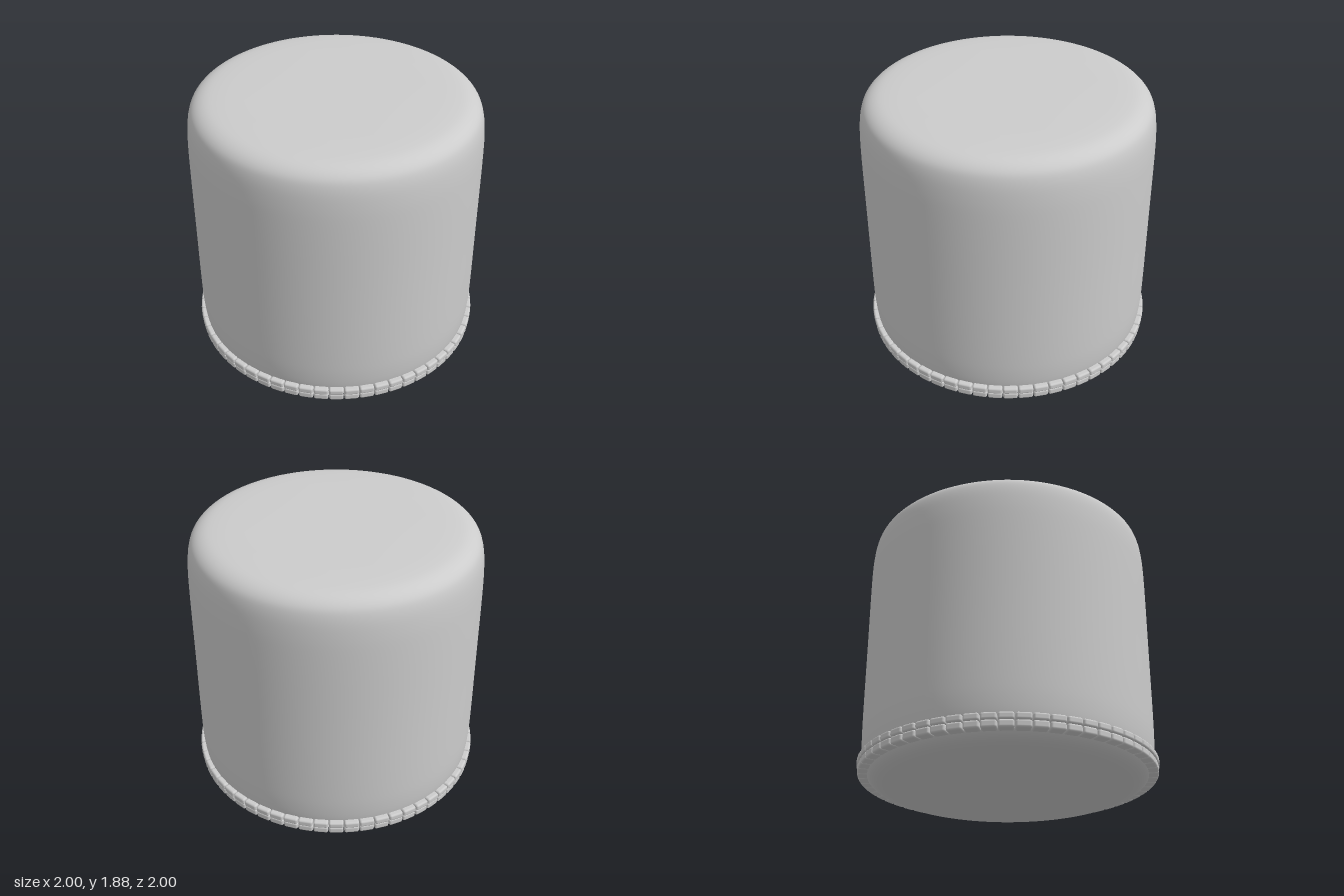
import * as THREE from 'three';
import { RoundedBoxGeometry } from 'three/addons/geometries/RoundedBoxGeometry.js';

const grey = new THREE.MeshStandardMaterial({ color: 0xcccccc });

// Smooth drum with softly rounded rims, turned from a splined profile
function makeBody() {
  const wall = new THREE.SplineCurve([
    [0.6, 0.003], [0.76, 0.01], [0.86, 0.025], [0.925, 0.065], [0.957, 0.13], [0.973, 0.25], [0.978, 0.45],
    [0.978, 0.95], [0.978, 1.43], [0.973, 1.63], [0.957, 1.75], [0.925, 1.815], [0.86, 1.855], [0.76, 1.87], [0.6, 1.877],
  ].map(([x, y]) => new THREE.Vector2(x, y)));
  const profile = [
    new THREE.Vector2(0, 0), new THREE.Vector2(0.3, 0),
    ...wall.getPoints(70),
    new THREE.Vector2(0.3, 1.882), new THREE.Vector2(0, 1.883),
  ];
  const body = new THREE.Mesh(new THREE.LatheGeometry(profile, 96), grey);
  body.name = 'body';
  return body;
}

// Ring of small rounded blocks around the foot
function makeRow(name, y, height, outerRadius, count = 60) {
  const row = new THREE.Group();
  row.name = name;
  const depth = 0.08;
  const block = new RoundedBoxGeometry(0.098, height, depth, 2, 0.014);
  for (let i = 0; i < count; i++) {
    const a = ((i + 0.5) / count) * Math.PI * 2;
    const r = outerRadius - depth / 2;
    const mesh = new THREE.Mesh(block, grey);
    mesh.name = 'trimBlock';
    mesh.position.set(Math.sin(a) * r, y, Math.cos(a) * r);
    mesh.rotation.y = a;
    row.add(mesh);
  }
  return row;
}

export function createModel() {
  const model = new THREE.Group();
  model.name = 'drum';
  model.add(makeBody());
  model.add(makeRow('upperTrim', 0.139, 0.046, 0.999));
  model.add(makeRow('lowerTrim', 0.093, 0.05, 0.993));
  return model;
}
